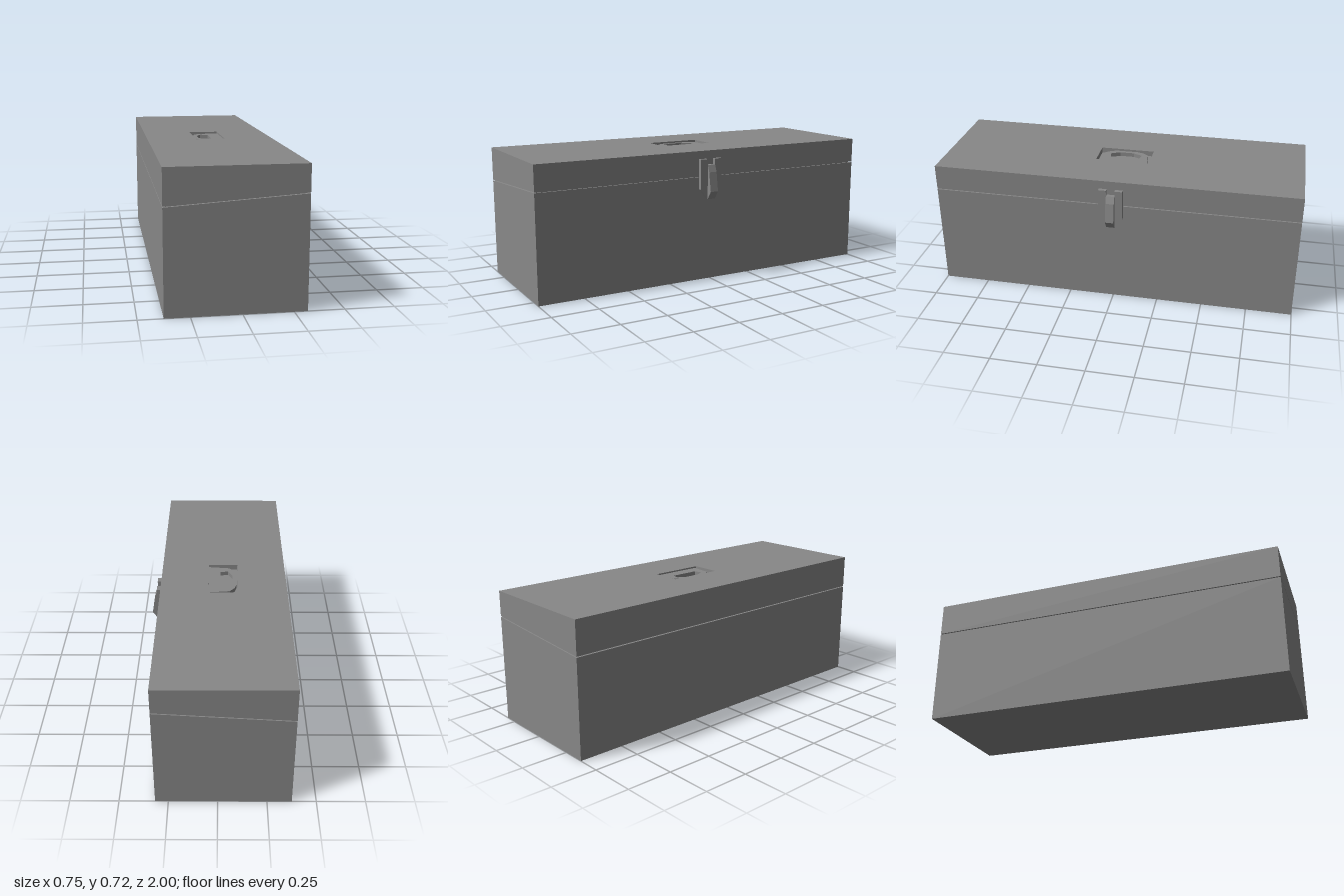
import * as THREE from 'three';

const solid = new THREE.MeshStandardMaterial({ color: 0x888888, flatShading: true });
const thin = new THREE.MeshStandardMaterial({ color: 0x888888, flatShading: true, side: THREE.DoubleSide });

const X0 = -0.376, X1 = 0.317, TOP = 0.718;
const seam = x => 0.531 + (x - X0) / (X1 - X0) * 0.045; // sloping body rim
const GAP = 0.005;

const v2 = pts => pts.map(([x, y]) => new THREE.Vector2(x, y));

// Extrude an x-y profile along z between z0 and z1
function prism(pts, z0, z1) {
  const g = new THREE.ExtrudeGeometry(new THREE.Shape(v2(pts)), { depth: z1 - z0, bevelEnabled: false });
  return g.translate(0, 0, z0);
}

// Horizontal sheet from [x, z] outline and holes
function sheet(pts, y, holes = []) {
  const flip = p => v2(p.map(([x, z]) => [x, -z]));
  const s = new THREE.Shape(flip(pts));
  s.holes = holes.map(h => new THREE.Path(flip(h)));
  return new THREE.ShapeGeometry(s).rotateX(-Math.PI / 2).translate(0, y, 0);
}

// Upright wall around a closed [x, z] loop, from bottom(x) up to y1
function wall(loop, bottom, y1) {
  const pos = [];
  loop.forEach(([ax, az], i) => {
    const [bx, bz] = loop[(i + 1) % loop.length];
    const a = [ax, bottom(ax), az], b = [bx, bottom(bx), bz];
    const c = [bx, y1, bz], d = [ax, y1, az];
    pos.push(...a, ...b, ...c, ...a, ...c, ...d);
  });
  const g = new THREE.BufferGeometry();
  g.setAttribute('position', new THREE.Float32BufferAttribute(pos, 3));
  g.computeVertexNormals();
  return g;
}

function add(group, name, geometry, material = solid) {
  const m = new THREE.Mesh(geometry, material);
  m.name = name;
  group.add(m);
}

export function createModel() {
  const model = new THREE.Group();
  model.name = 'toolbox';

  // Body with its sloping rim, and the inset core seen in the seam
  add(model, 'body', prism([[X0, 0], [X1, 0], [X1, seam(X1)], [X0, seam(X0)]], -1, 1));
  const a = X0 + 0.014, b = X1 - 0.014;
  add(model, 'seamCore', prism([[a, seam(a) - 0.02], [b, seam(b) - 0.02],
    [b, seam(b) + 0.03], [a, seam(a) + 0.03]], -0.986, 0.986));

  // Lid shell
  const lid = new THREE.Group();
  lid.name = 'lid';
  model.add(lid);
  const rim = [[X0, 1], [X1, 1], [X1, -1], [X0, -1]];
  const under = x => seam(x) + GAP;
  add(lid, 'lidSides', wall(rim, under, TOP), thin);
  const underside = sheet(rim, 0);
  const p = underside.attributes.position;
  for (let i = 0; i < p.count; i++) p.setY(i, under(p.getX(i)));
  add(lid, 'lidUnderside', underside, thin);

  // Rectangular recess in the lid top
  const recess = [[0.053, -0.151], [-0.108, -0.151], [-0.108, 0.149], [0.053, 0.149]];
  const floor = TOP - 0.03;
  add(lid, 'lidTop', sheet(rim, TOP, [recess]), thin);
  add(lid, 'recessWalls', wall(recess, () => floor, TOP), thin);

  // Handle plate set just below the lid top, with a finger slot
  const plate = [[0.053, 0.136], [-0.063, 0.123], [-0.09, 0.09], [-0.1, 0.056],
    [-0.1, -0.06], [-0.09, -0.094], [-0.063, -0.125], [0.053, -0.138]];
  const slot = [[-0.012, -0.083], [-0.055, -0.092], [-0.08, -0.042],
    [-0.08, 0.038], [-0.055, 0.088], [-0.012, 0.079]];
  const plateTop = TOP - 0.008;
  add(lid, 'handlePlate', sheet(plate, plateTop, [slot]), thin);
  add(lid, 'handleEdge', wall(plate, () => floor, plateTop), thin);
  add(lid, 'fingerSlot', wall(slot, () => floor, plateTop), thin);
  add(lid, 'recessFloor', sheet(recess, floor), thin);

  // Latch: notched plate with a tapered foot, and a raised central fin
  const latch = new THREE.Group();
  latch.name = 'latch';
  latch.position.z = 0.008;
  model.add(latch);
  const w = 0.065, n = 0.023;
  const latchPlate = prism([[-n, 0.455], [n, 0.455], [w, 0.51], [w, 0.675], [n, 0.675],
    [n, 0.643], [-n, 0.643], [-n, 0.675], [-w, 0.675], [-w, 0.51]], 0.322, 0.343);
  add(latch, 'latchPlate', latchPlate.rotateY(Math.PI / 2));
  add(latch, 'latchFin', prism([[0.34, 0.455], [0.343, 0.455], [0.375, 0.5],
    [0.358, 0.605], [0.343, 0.643], [0.34, 0.643]], -n, n));

  return model;
}
